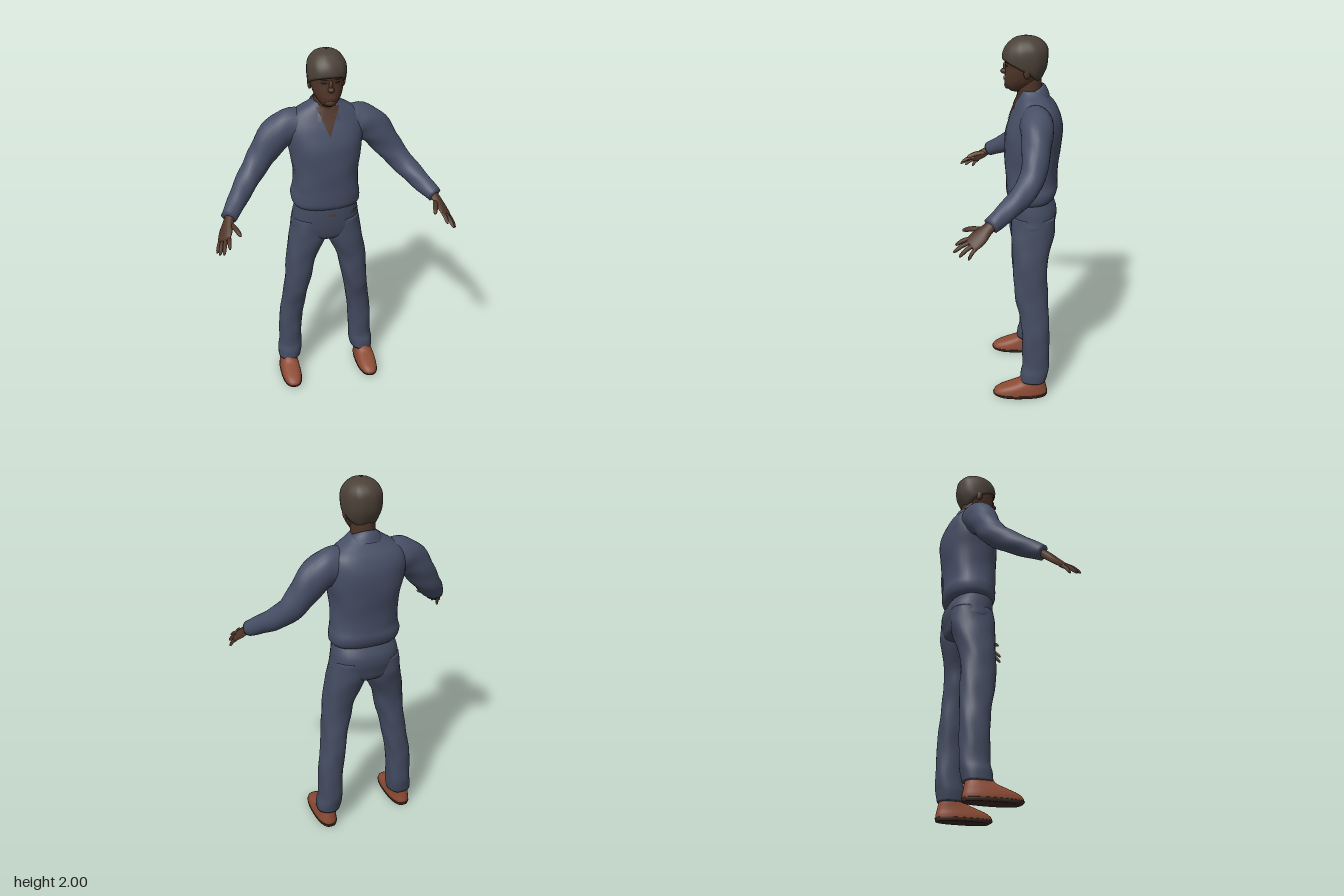
import * as THREE from 'three';

const mat = (name, color, side = THREE.FrontSide) => {
  const m = new THREE.MeshStandardMaterial({ color, side });
  m.name = name;
  return m;
};
const V = (x, y, z) => new THREE.Vector3(x, y, z);

// Catmull-Rom interpolation of rows of numbers
function dense(rows, n = 4) {
  const out = [], at = (i) => rows[Math.max(0, Math.min(rows.length - 1, i))];
  for (let i = 0; i < rows.length - 1; i++) {
    for (let k = 0; k < n; k++) {
      const t = k / n;
      out.push(rows[i].map((b, c) => {
        const a = at(i - 1)[c], d = at(i + 1)[c], e = at(i + 2)[c];
        return b + 0.5 * t * (d - a + t * (2 * a - 5 * b + 4 * d - e + t * (3 * (b - d) + e - a)));
      }));
    }
  }
  out.push(at(rows.length - 1));
  return out;
}

// Surface over rows of points; closed rows wrap round, halves of a row form two groups
function grid(rows, closed = true) {
  const n = rows[0].length, cols = closed ? n : n - 1, idx = [], geo = new THREE.BufferGeometry();
  for (let j = 0; j < cols; j++) {
    for (let i = 0; i < rows.length - 1; i++) {
      const a = i * n + j, b = i * n + (j + 1) % n;
      idx.push(a, b, a + n, b, b + n, a + n);
    }
  }
  geo.setIndex(idx);
  geo.setAttribute('position', new THREE.Float32BufferAttribute(rows.flat().flatMap((p) => p.toArray()), 3));
  geo.computeVertexNormals();
  return geo;
}

const SEG = 32;
const sp = (v, n) => Math.sign(v) * Math.pow(Math.abs(v), 2 / n);

// Upright loft; rings are [y, xCentre, halfWidth, zFront, zBack] from bottom to top
function upright(rings, n = 2.3, wob = 0) {
  const d = dense(rings), rows = d.map(([y, xc, w, f, b]) => Array.from({ length: SEG }, (_, j) => {
    const t = j / SEG * Math.PI * 2;
    const k = 1 + wob * (Math.sin(5 * t + 24 * y + 9 * xc) + 0.6 * Math.sin(3 * t - 41 * y));
    return V(xc + Math.max(w, 0) * k * sp(Math.sin(t), n), y, (f + b) / 2 + (f - b) / 2 * k * sp(Math.cos(t), n));
  }));
  const cap = (r) => Array(SEG).fill(V(r[1], r[0], (r[3] + r[4]) / 2));
  return grid([cap(d[0]), ...rows, cap(d[d.length - 1])]);
}

// Limb loft along a path; rings are [x, y, z, width, thickness], ref points to the back of the limb
function limb(rings, ref, wob = 0, seg = 16) {
  const d = dense(rings), P = d.map((r) => V(r[0], r[1], r[2]));
  const rows = d.map((r, i) => {
    const T = P[Math.min(i + 1, P.length - 1)].clone().sub(P[Math.max(i - 1, 0)]).normalize();
    const A = ref.clone().cross(T).normalize(), B = T.clone().cross(A);
    return Array.from({ length: seg }, (_, j) => {
      const t = j / seg * Math.PI * 2, k = 1 + wob * Math.sin(3 * t + i * 1.1);
      return P[i].clone().addScaledVector(A, r[3] * k * Math.cos(t)).addScaledVector(B, r[4] * k * Math.sin(t));
    });
  });
  const geo = grid([Array(seg).fill(P[0]), ...rows, Array(seg).fill(P[P.length - 1])]);
  const half = geo.index.count / 2;
  geo.addGroup(0, half, 0);
  geo.addGroup(half, half, 1);
  return geo;
}

function ringAt(rings, y) {
  let i = 0;
  while (i < rings.length - 2 && rings[i + 1][0] < y) i++;
  const t = Math.min(1, Math.max(0, (y - rings[i][0]) / (rings[i + 1][0] - rings[i][0])));
  return rings[i].map((a, c) => a + (rings[i + 1][c] - a) * t);
}

// Thin patch lying on the front of an upright loft; outline gives half width at height v in 0..1
function patch(rings, xc, y0, y1, outline, off = 0.004, n = 2.3) {
  const d = dense(rings), rows = [];
  for (let i = 0; i <= 10; i++) {
    const y = y0 + (y1 - y0) * i / 10, [, , w, f, b] = ringAt(d, y);
    rows.push(Array.from({ length: 9 }, (_, j) => {
      const x = xc + (j / 4 - 1) * outline(i / 10);
      const q = Math.pow(Math.max(0, 1 - Math.pow(Math.abs(x / w), n)), 1 / n);
      return V(x, y, (f + b) / 2 + (f - b) / 2 * q + off);
    }));
  }
  return grid(rows, false);
}

const TORSO = [[1.13, 0, .16, -.005, -.21], [1.155, 0, .185, .01, -.245], [1.2, 0, .19, .014, -.262],
  [1.25, 0, .18, .017, -.258], [1.33, 0, .177, .021, -.262], [1.42, 0, .188, .023, -.274],
  [1.5, 0, .203, .018, -.281], [1.58, 0, .212, -.005, -.274], [1.64, 0, .195, -.03, -.25],
  [1.68, 0, .15, -.045, -.215], [1.71, 0, .1, -.055, -.19], [1.73, 0, .075, -.06, -.175]];
const PELVIS = [[.92, 0, .06, -.06, -.19], [.95, 0, .15, -.02, -.235], [1, 0, .193, -.006, -.25],
  [1.05, 0, .187, 0, -.26], [1.1, 0, .18, .002, -.253], [1.16, 0, .165, 0, -.215]];
const LEG = [[.1, .227, .066, -.06, -.207], [.15, .222, .07, -.062, -.216], [.2, .216, .066, -.073, -.222],
  [.3, .213, .066, -.07, -.222], [.4, .207, .067, -.068, -.22], [.5, .19, .067, -.055, -.217],
  [.6, .176, .068, -.03, -.212], [.7, .16, .076, -.022, -.205], [.8, .145, .083, -.02, -.208],
  [.92, .108, .102, -.01, -.235], [.98, .1, .098, -.01, -.245], [1.06, .095, .088, -.014, -.245]];
const SHOE = [[.016, .235, .058, .092, -.212], [.035, .235, .058, .088, -.212], [.055, .235, .055, .06, -.207],
  [.075, .234, .051, .005, -.203], [.095, .232, .047, -.045, -.198], [.13, .23, .042, -.07, -.19]];
const SOLE = [[0, .235, .055, .075, -.21], [.01, .235, .06, .092, -.214], [.02, .235, .06, .096, -.215]];
const HEAD = [[1.722, 0, .03, -.01, -.08], [1.74, 0, .046, .013, -.11], [1.77, 0, .066, .022, -.145],
  [1.81, 0, .08, .02, -.168], [1.85, 0, .087, .016, -.185], [1.9, 0, .09, .022, -.19],
  [1.94, 0, .083, .008, -.185], [1.97, 0, .06, -.02, -.16], [1.985, 0, .035, -.045, -.13], [1.992, 0, .004, -.08, -.09]];
const ARM = [[.12, 1.6, -.13, .075, .08], [.19, 1.59, -.135, .085, .093], [.27, 1.54, -.13, .078, .09],
  [.335, 1.455, -.122, .068, .077], [.395, 1.375, -.098, .063, .066], [.455, 1.31, -.04, .057, .058],
  [.51, 1.255, .035, .048, .05], [.557, 1.212, .1, .042, .04]];
const PALM = [[.545, 1.223, .085, .028, .022], [.563, 1.195, .12, .032, .021], [.58, 1.165, .155, .044, .018],
  [.596, 1.136, .193, .042, .013], [.599, 1.131, .2, .034, .008]];
// Finger bases and tips, thumb last
const FINGERS = [[[.57, 1.157, .19], [.575, 1.123, .268]], [[.585, 1.147, .19], [.607, 1.1, .278]],
  [[.601, 1.133, .184], [.626, 1.085, .25]], [[.615, 1.121, .172], [.636, 1.073, .207]],
  [[.552, 1.19, .13], [.514, 1.172, .235]]];

export function createModel() {
  const model = new THREE.Group();
  const shirt = mat('shirt cloth', 0x474f66), trousers = mat('trouser cloth', 0x434b60);
  const skin = mat('skin', 0x4e3427), palmSkin = mat('palm skin', 0x7a5a48);
  const hairMat = mat('hair', 0x4b4138, THREE.DoubleSide), leather = mat('shoe leather', 0x8c4b34);
  const soleMat = mat('shoe sole', 0x3d2a22), dark = mat('dark features', 0x211815);
  const lipMat = mat('lips', 0x5a3630), collarMat = mat('collar cloth', 0x474f66, THREE.DoubleSide);
  const add = (name, geo, m) => {
    const mesh = new THREE.Mesh(geo, m);
    mesh.name = name;
    model.add(mesh);
    return mesh;
  };
  const ball = (name, m, x, y, z, a, b, c) => {
    const mesh = add(name, new THREE.SphereGeometry(1, 16, 12), m);
    mesh.position.set(x, y, z);
    mesh.scale.set(a, b, c);
    return mesh;
  };

  // Clothes on the body
  add('shirt', upright(TORSO, 2.4, .009), shirt);
  add('trouserSeat', upright(PELVIS, 2.3), trousers);
  add('openNeck', patch(TORSO, 0, 1.565, 1.71, (v) => .002 + .06 * v, .006, 2.4), skin);
  for (const x of [.01, .14]) add('beltFitting', patch(PELVIS, x, 1.095, 1.112, () => .02, .006), hairMat);

  // Folded collar, open at the front
  const collar = [];
  for (let i = 0; i <= 4; i++) {
    const v = i / 4;
    collar.push(Array.from({ length: 33 }, (_, j) => {
      const a = .42 + (Math.PI * 2 - .84) * j / 32, c = Math.cos(a), r = .07 + .034 * v;
      return V(Math.sin(a) * r, 1.722 - .034 * c - .055 * v + .012 * Math.sin(v * Math.PI), -.112 + c * (r - .006));
    }));
  }
  add('collar', grid(collar, false), collarMat);

  // Head and face
  add('neck', upright([[1.58, 0, .07, -.05, -.18], [1.68, 0, .064, -.045, -.17], [1.8, 0, .062, -.04, -.168]], 2), skin);
  add('head', upright(HEAD, 2.2), skin);
  ball('nose', skin, 0, 1.822, .022, .017, .014, .021);
  ball('noseBridge', skin, 0, 1.842, .017, .01, .028, .013);
  ball('chin', skin, 0, 1.75, .005, .03, .02, .018);
  const oval = (w) => (v) => w * Math.sqrt(Math.max(0, 1 - (2 * v - 1) ** 2)) + .0005;
  add('lips', patch(HEAD, 0, 1.778, 1.796, oval(.025), .004, 2.2), lipMat);
  for (const s of [-1, 1]) {
    add('eye', patch(HEAD, s * .035, 1.85, 1.862, oval(.015), .003, 2.2), dark);
    add('eyebrow', patch(HEAD, s * .036, 1.87, 1.878, oval(.022), .004, 2.2), dark);
    ball('ear', skin, s * .086, 1.83, -.09, .012, .032, .02).rotation.y = s * .3;
  }

  // Hair cap, lower at the back than over the brow
  const hd = dense(HEAD), hair = [];
  for (let i = 0; i <= 16; i++) {
    const v = i / 16, t = i === 0 ? -.006 : i === 16 ? 0 : .011;
    hair.push(Array.from({ length: 40 }, (_, j) => {
      const a = j / 40 * Math.PI * 2, c = Math.cos(a), low = 1.832 + .06 * c - .006 * c * c;
      const y = low + (1.992 - low) * Math.sin(Math.max(0, (i - 1) / 15) * Math.PI / 2), r = ringAt(hd, y);
      const k = 1 + .012 * Math.sin(9 * a + 6 * v);
      return V((r[2] + t) * k * sp(Math.sin(a), 2.2), y + .008 * v * v, (r[3] + r[4]) / 2 + ((r[3] - r[4]) / 2 + t) * k * sp(c, 2.2));
    }));
  }
  add('hair', grid(hair), hairMat);

  // Arms, hands, legs and shoes, mirrored by flipping x
  for (const s of [-1, 1]) {
    const side = s > 0 ? 'left' : 'right';
    const flipLimb = (rings) => rings.map(([x, ...rest]) => [s * x, ...rest]);
    const flipUp = (rings) => rings.map(([y, x, ...rest]) => [y, s * x, ...rest]);
    const back = V(s * .68, .67, .29), hand = [skin, palmSkin];
    add(side + 'Sleeve', limb(flipLimb(ARM), V(s * .5, .8, 0), .025, 24), shirt);
    add(side + 'Palm', limb(flipLimb(PALM), back), hand);
    FINGERS.forEach(([a, b], i) => {
      const r = i === 4 ? .014 : i === 3 ? .0095 : .011;
      const rings = [[0, 1], [.5, .95], [.85, .8], [1, .35]].map(([t, k]) =>
        [...a.map((p, c) => p + (b[c] - p) * t + (c === 1 ? .008 * Math.sin(t * Math.PI) : 0)), r * k, r * k]);
      add(side + (i === 4 ? 'Thumb' : 'Finger'), limb(flipLimb(rings), back, 0, 10), hand);
    });
    add(side + 'TrouserLeg', upright(flipUp(LEG), 2.3, .018), trousers);
    add(side + 'Shoe', upright(flipUp(SHOE), 2.5), leather);
    add(side + 'Sole', upright(flipUp(SOLE), 2.5), soleMat);
  }
  return model;
}
